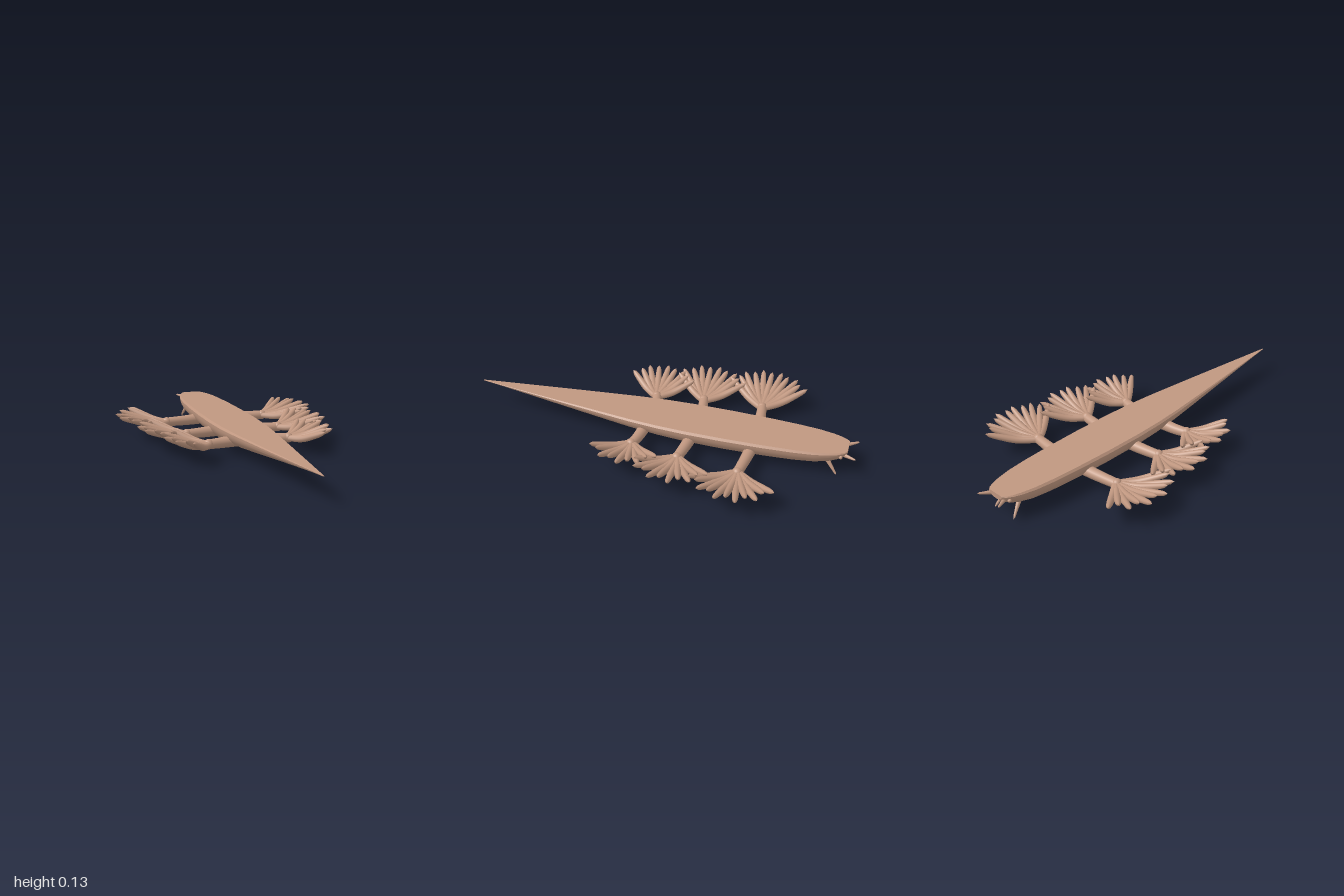
import * as THREE from 'three';
import { toCreasedNormals } from 'three/addons/utils/BufferGeometryUtils.js';

const V = (x, y, z) => new THREE.Vector3(x, y, z);
const CX = 0.012; // body axis
const TOP = 0.137; // flat back height

// Tube along a curve whose radius follows a rule r(t)
function taperedTube(points, radius, rings = 14, sides = 10) {
  const curve = new THREE.CatmullRomCurve3(points);
  const geo = new THREE.TubeGeometry(curve, rings, 1, sides, false);
  const pos = geo.attributes.position;
  const p = new THREE.Vector3();
  for (let i = 0; i <= rings; i++) {
    const c = curve.getPointAt(i / rings);
    const r = radius(i / rings);
    for (let j = 0; j <= sides; j++) {
      const k = i * (sides + 1) + j;
      p.fromBufferAttribute(pos, k).sub(c).multiplyScalar(r).add(c);
      pos.setXYZ(k, p.x, p.y, p.z);
    }
  }
  return geo;
}

// Flat-backed hull lofted from [z, half width, belly height]
function bodyGeometry() {
  const stations = [
    [-0.953, 0.045, 0.108], [-0.94, 0.06, 0.094], [-0.91, 0.076, 0.072], [-0.87, 0.089, 0.054],
    [-0.8, 0.104, 0.038], [-0.7, 0.115, 0.029], [-0.55, 0.124, 0.023], [-0.35, 0.13, 0.02],
    [-0.15, 0.13, 0.022], [0, 0.124, 0.03], [0.15, 0.111, 0.043], [0.3, 0.093, 0.06],
    [0.5, 0.068, 0.083], [0.7, 0.042, 0.105], [0.9, 0.016, 0.126], [1, 0.003, 0.134],
  ];
  const n = 24;
  const verts = [];
  const index = [];
  for (const [z, w, low] of stations) {
    const h = TOP - low;
    verts.push(CX - w * 0.93, TOP, z);
    for (let j = 0; j <= n; j++) {
      const a = Math.PI * (1 + j / n);
      verts.push(CX + w * Math.cos(a), TOP - h * (0.1 - 0.9 * Math.sin(a)), z);
    }
    verts.push(CX + w * 0.93, TOP, z);
  }
  const m = n + 3;
  for (let i = 0; i < stations.length - 1; i++) {
    for (let j = 0; j < m; j++) {
      const a = i * m + j, b = i * m + (j + 1) % m;
      index.push(a, b, b + m, a, b + m, a + m);
    }
  }
  // Blunt snout and tail end caps
  const last = (stations.length - 1) * m;
  for (let j = 1; j < m - 1; j++) {
    index.push(0, j + 1, j, last, last + j, last + j + 1);
  }
  const geo = new THREE.BufferGeometry();
  geo.setAttribute('position', new THREE.Float32BufferAttribute(verts, 3));
  geo.setIndex(index);
  return toCreasedNormals(geo, 0.6);
}

export function createModel() {
  const model = new THREE.Group();
  const skin = new THREE.MeshStandardMaterial({ color: 0xc09780 });
  skin.name = 'skin';
  const add = (parent, geo, name) => {
    const mesh = new THREE.Mesh(geo, skin);
    mesh.name = name;
    parent.add(mesh);
  };

  add(model, bodyGeometry(), 'body');

  // Limbs: z of hub, reach of arm, finger length, finger count
  const limbs = [
    ['rear', -0.465, 0.27, 0.29, 11],
    ['middle', -0.155, 0.245, 0.27, 10],
    ['front', 0.095, 0.205, 0.24, 9],
  ];
  for (const side of [1, -1]) {
    for (const [label, z, reach, length, count] of limbs) {
      const limb = new THREE.Group();
      limb.name = label + (side > 0 ? 'LeftLimb' : 'RightLimb');
      const hx = CX + side * reach;
      add(limb, taperedTube(
        [V(CX + side * 0.06, 0.076, z - 0.025), V(CX + side * 0.15, 0.073, z - 0.016), V(hx + side * 0.02, 0.074, z)],
        (t) => 0.031 - 0.007 * t, 8, 16), 'arm');
      const hub = new THREE.SphereGeometry(0.026, 16, 10);
      hub.translate(hx + side * 0.01, 0.075, z);
      add(limb, hub, 'hub');

      // Fan of upturned fingers with alternating lengths
      for (let i = 0; i < count; i++) {
        const f = (i / (count - 1)) * 2 - 1;
        const angle = f * 0.9;
        const len = length * (1 - 0.08 * f * f - (i % 2 ? 0.08 : 0));
        const dx = side * Math.cos(angle) * len;
        const dz = Math.sin(angle) * len;
        const lift = i % 2 ? 0.006 : 0;
        const at = (t, y) => V(hx + dx * t, y + lift * t, z + dz * t);
        add(limb, taperedTube(
          [at(0, 0.073), at(0.4, 0.08), at(0.75, 0.106), at(1, 0.128)],
          (t) => (0.015 + 0.005 * Math.sin(Math.PI * t) - 0.004 * t)
            * Math.sqrt(Math.max(0, 1 - Math.pow(Math.max(0, (t - 0.86) / 0.14), 2)))), 'finger');
      }
      model.add(limb);
    }

    // Head feelers: upper pair points ahead, lower pair points down
    const cone = (t) => (t < 1 ? 0.012 - 0.008 * t : 0);
    add(model, taperedTube(
      [V(CX + side * 0.035, 0.112, -0.925), V(CX + side * 0.055, 0.115, -0.962), V(CX + side * 0.076, 0.119, -1)],
      cone, 8), 'upperFeeler');
    add(model, taperedTube(
      [V(CX + side * 0.048, 0.076, -0.86), V(CX + side * 0.058, 0.04, -0.888), V(CX + side * 0.068, 0.003, -0.916)],
      cone, 8), 'lowerFeeler');
    // Small eye bumps on the sides of the head
    const bump = new THREE.SphereGeometry(0.01, 10, 8);
    bump.translate(CX + side * 0.064, 0.112, -0.925);
    add(model, bump, 'eyeBump');
  }
  return model;
}
